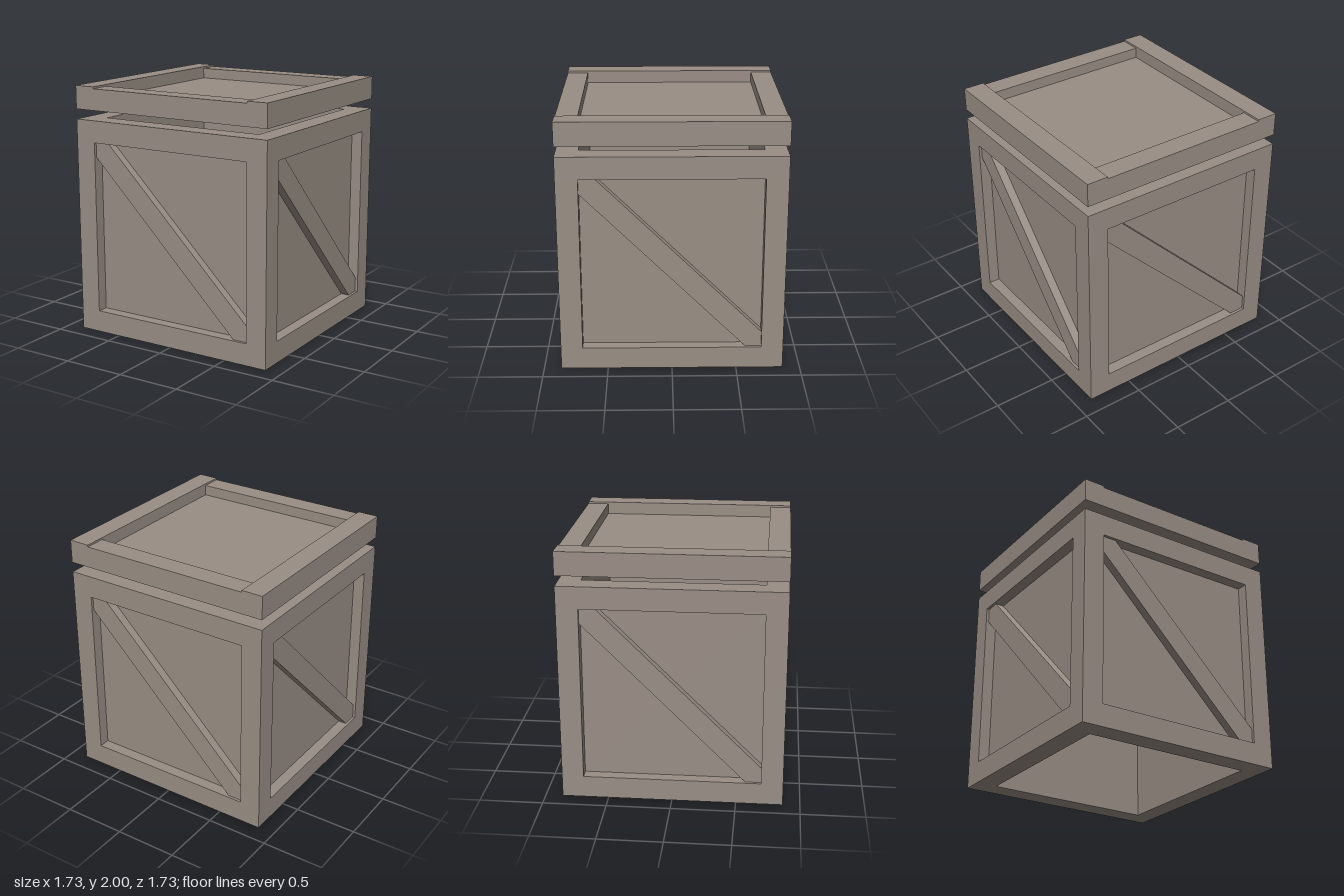
import * as THREE from 'three';

const OUT = 0.865;    // half width of the crate
const IN = 0.695;     // half width of the openings
const PANEL = 0.775;  // outer face of the recessed panels
const BEAM = 0.843;   // outer face of the diagonal braces
const Y0 = 0.175, Y1 = 1.56, BODY_TOP = 1.735;

export function createModel() {
  const wood = new THREE.MeshStandardMaterial({ color: 0x998e85 });
  wood.name = 'weatheredWood';

  const add = (parent, name, geometry) => {
    const mesh = new THREE.Mesh(geometry, wood);
    mesh.name = name;
    parent.add(mesh);
    return mesh;
  };

  // Box given by its lower and upper corners
  const block = (parent, name, [x0, y0, z0], [x1, y1, z1]) => {
    const mesh = add(parent, name, new THREE.BoxGeometry(x1 - x0, y1 - y0, z1 - z0));
    mesh.position.set((x0 + x1) / 2, (y0 + y1) / 2, (z0 + z1) / 2);
    return mesh;
  };

  const polygon = (points) => new THREE.Shape(points.map(([x, y]) => new THREE.Vector2(x, y)));
  const square = (r) => [[-r, -r], [r, -r], [r, r], [-r, r]];

  // Horizontal square ring between two heights
  const ring = (parent, name, y0, y1) => {
    const shape = polygon(square(OUT));
    shape.holes.push(polygon(square(IN)));
    const geometry = new THREE.ExtrudeGeometry(shape, { depth: y1 - y0, bevelEnabled: false });
    geometry.rotateX(-Math.PI / 2);
    add(parent, name, geometry).position.y = y0;
  };

  const crate = new THREE.Group();
  crate.name = 'crate';

  // Open body: two rings joined by corner posts
  const body = new THREE.Group();
  body.name = 'body';
  crate.add(body);
  ring(body, 'bottomFrame', 0, Y0);
  ring(body, 'topFrame', Y1, BODY_TOP);

  // Diagonal brace, clipped to fit the opening's corners
  const braceShape = polygon([
    [-IN, Y1], [-IN, 1.44], [0.57, Y0], [IN, Y0], [IN, 0.297], [-0.573, Y1],
  ]);
  const braceGeometry = new THREE.ExtrudeGeometry(braceShape, { depth: BEAM - PANEL, bevelEnabled: false });

  // Four identical sides, each with a post, a panel and a brace
  for (let i = 0; i < 4; i++) {
    const side = new THREE.Group();
    side.name = ['front', 'left', 'back', 'right'][i] + 'Side';
    side.rotation.y = i * Math.PI / 2;
    body.add(side);
    block(side, 'cornerPost', [IN, Y0, IN], [OUT, Y1, OUT]);
    block(side, 'panel', [-IN, Y0, IN], [IN, Y1, PANEL]);
    add(side, 'diagonalBrace', braceGeometry).position.z = PANEL;
  }

  // Raised lid: long rails, slightly lower cross rails and a sunken board
  const lid = new THREE.Group();
  lid.name = 'lid';
  crate.add(lid);
  const LID = 1.815;
  block(lid, 'leftRail', [IN, LID, -OUT], [OUT, 2, OUT]);
  block(lid, 'rightRail', [-OUT, LID, -OUT], [-IN, 2, OUT]);
  block(lid, 'frontRail', [-IN, LID, IN], [IN, 1.985, OUT]);
  block(lid, 'backRail', [-IN, LID, -OUT], [IN, 1.985, -IN]);
  block(lid, 'lidBoard', [-IN, LID, -IN], [IN, 1.9, IN]);

  return crate;
}
